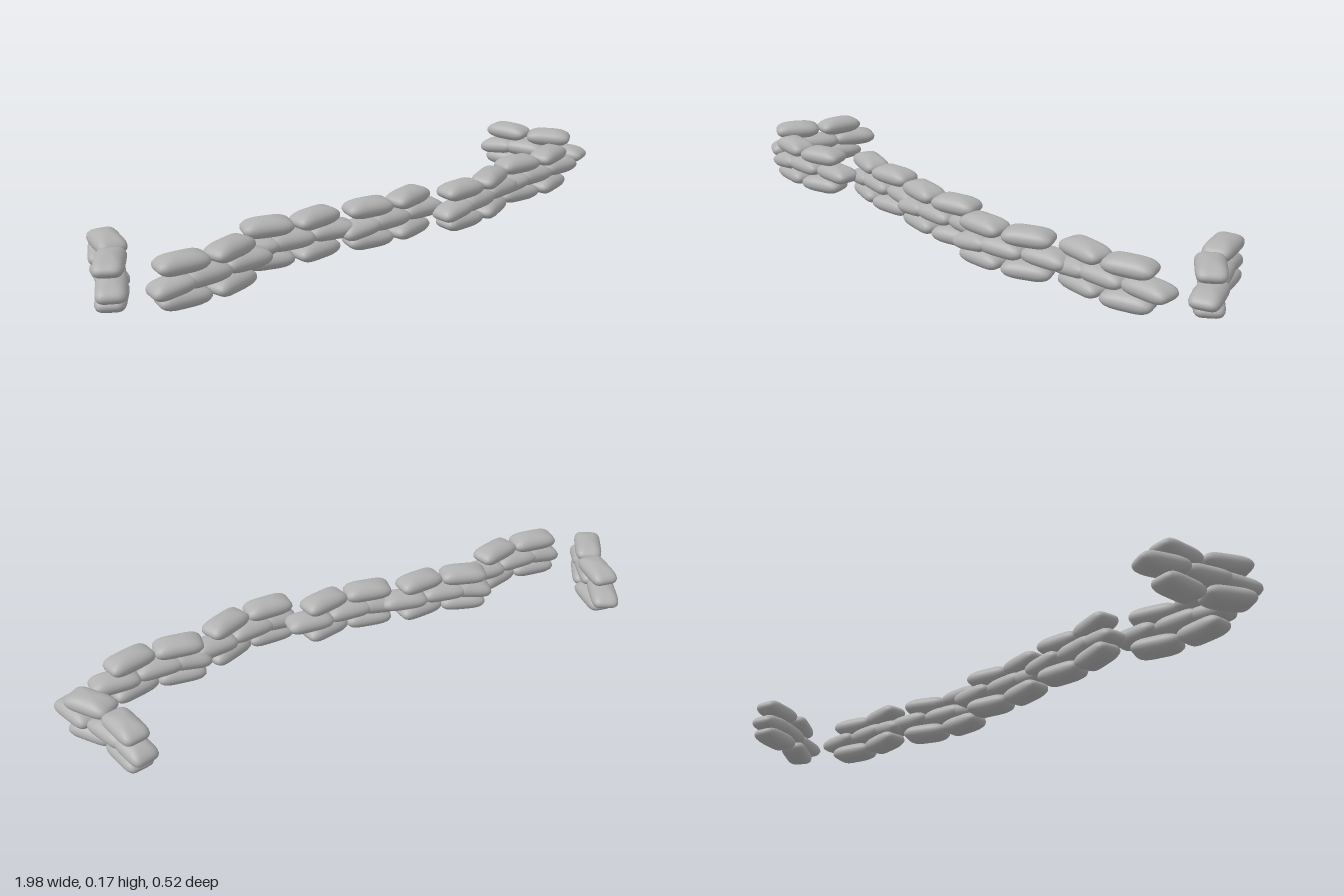
import * as THREE from 'three';
import { mergeVertices } from 'three/addons/utils/BufferGeometryUtils.js';

// Pillow: elliptical from the side, a rounded rectangle from above
function bagGeometry(length, height, width) {
  const geo = new THREE.SphereGeometry(1, 40, 20);
  const p = geo.attributes.position;
  for (let i = 0; i < p.count; i++) {
    const x = p.getX(i), y = p.getY(i), z = p.getZ(i);
    const r = Math.hypot(x, z);
    if (r < 1e-5) {
      p.setXYZ(i, 0, y * height / 2, 0);
      continue;
    }
    const c = x / r, s = z / r;
    const square = Math.pow(Math.abs(c) ** 5 + Math.abs(s) ** 5, -1 / 5);
    const k = Math.pow(r, 0.92) * square;
    p.setXYZ(i, c * k * length / 2, y * height / 2, s * k * width / 2);
  }
  geo.deleteAttribute('uv');
  geo.deleteAttribute('normal');
  const smooth = mergeVertices(geo, 1e-5);
  smooth.computeVertexNormals();
  return smooth;
}

export function createModel() {
  const model = new THREE.Group();
  model.name = 'sandbagWall';
  const greyCloth = new THREE.MeshStandardMaterial({ color: 0xb0b0b0 });
  greyCloth.name = 'greyCloth';

  const fullBag = bagGeometry(0.157, 0.062, 0.09);
  const shortBag = bagGeometry(0.135, 0.06, 0.09);
  const rad = THREE.MathUtils.degToRad;

  // One stack: [name, geometry, x, y, z, yaw, tilt]
  const stack = [
    ['bottomBagA', fullBag, -0.079, 0.031, 0, 8, 0],
    ['bottomBagB', fullBag, 0.079, 0.031, 0, -15, 0],
    ['middleBagLow', shortBag, -0.113, 0.073, 0, 5, 8],
    ['middleBagCentre', fullBag, -0.008, 0.08, 0, 0, 0],
    ['middleBagEnd', fullBag, 0.137, 0.08, -0.012, 2, 0],
    ['topBagA', fullBag, -0.079, 0.134, 0, 8, 0],
    ['topBagB', fullBag, 0.079, 0.134, 0, -15, 0],
  ];

  // Stacks along the wall: [name, x, z, yaw]
  const sections = [
    ['rightWing', -0.884, -0.054, -65],
    ['wallSection1', -0.685, 0.141, 0],
    ['wallSection2', -0.353, 0.088, 11],
    ['wallSection3', -0.016, 0.142, 3],
    ['wallSection4', 0.318, 0.193, -8],
    ['wallSection5', 0.652, 0.142, 0],
    ['leftWing', 0.867, -0.075, 69],
  ];

  for (const [name, x, z, yaw] of sections) {
    const section = new THREE.Group();
    section.name = name;
    section.position.set(x, 0, z);
    section.rotation.y = -rad(yaw);
    for (const [bagName, geo, bx, by, bz, bagYaw, tilt] of stack) {
      const bag = new THREE.Mesh(geo, greyCloth);
      bag.name = bagName;
      bag.position.set(bx, by, bz);
      bag.rotation.set(0, -rad(bagYaw), rad(tilt));
      section.add(bag);
    }
    model.add(section);
  }
  return model;
}
